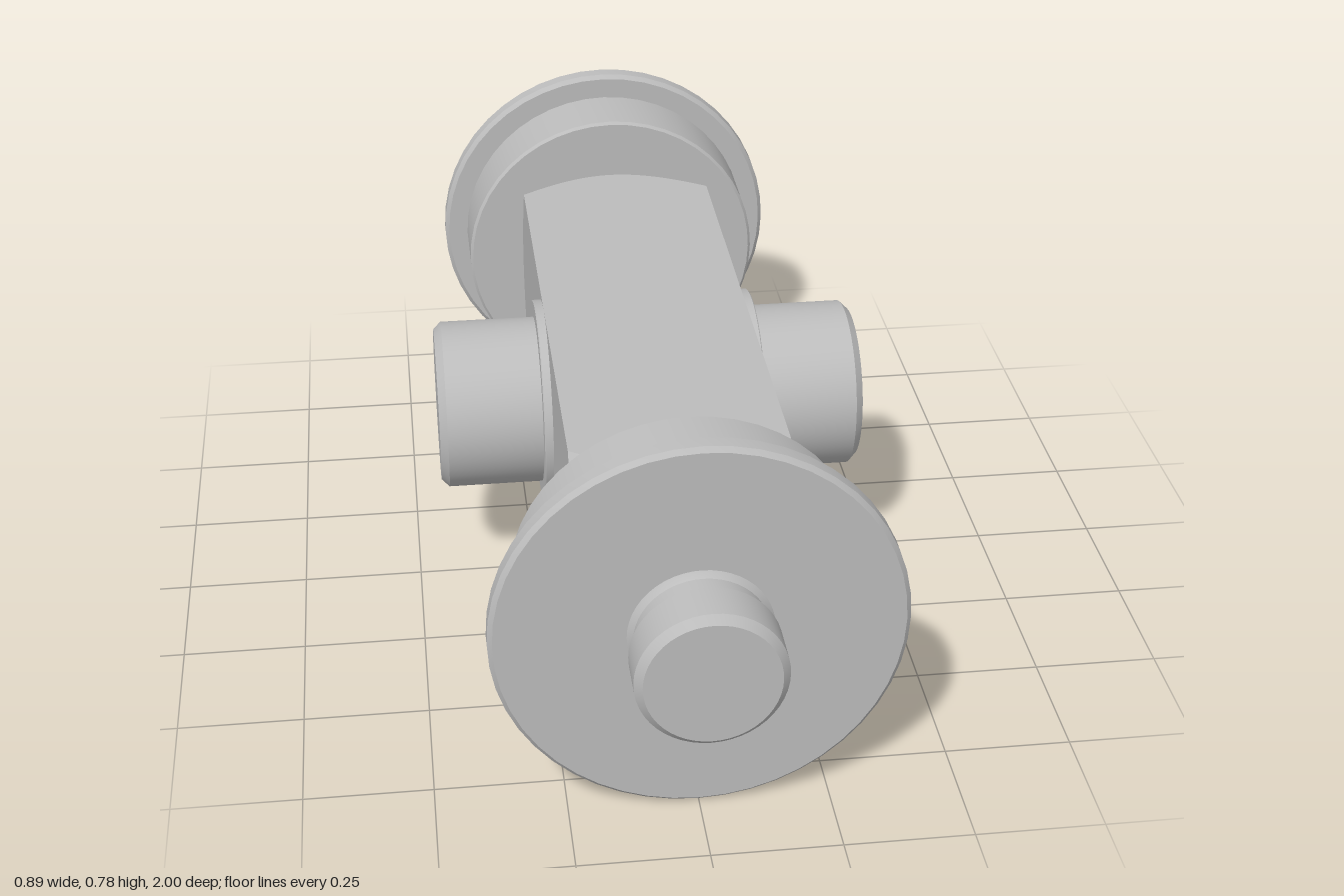
import * as THREE from 'three';
import { toCreasedNormals } from 'three/addons/utils/BufferGeometryUtils.js';

const CENTRE_Y = 0.393;
const CROSS_Z = -0.052;

export function createModel() {
  const root = new THREE.Group();
  root.name = 'crossSpindle';
  const steel = new THREE.MeshStandardMaterial({ color: 0xbcbcbc });
  steel.name = 'greySteel';

  function add(name, geometry) {
    const mesh = new THREE.Mesh(toCreasedNormals(geometry, 0.5), steel);
    mesh.name = name;
    mesh.position.y = CENTRE_Y;
    root.add(mesh);
    return mesh;
  }

  // Turned part along z; profile is [radius, z] with z rising
  function turned(name, profile) {
    const points = profile.map(([r, z]) => new THREE.Vector2(r, z));
    return add(name, new THREE.LatheGeometry(points, 48).rotateX(Math.PI / 2));
  }

  // Solid disc with bevelled rims
  function disc(name, r, z0, z1, b) {
    return turned(name, [[0, z0], [r - b, z0], [r, z0 + b], [r, z1 - b], [r - b, z1], [0, z1]]);
  }

  // Square bar with conically turned ends
  add('squareBar', turnedSquareBar(0.213, 0.195, -0.738, 0.633));

  // Front wheel, neck and pin
  disc('frontDrum', 0.338, 0.633, 0.8, 0.006);
  disc('frontFlange', 0.391, 0.795, 0.843, 0.009);
  turned('frontNeck', [[0.142, 0.84], [0.134, 0.845], [0.127, 0.855], [0.127, 0.892]]);
  disc('frontPin', 0.141, 0.888, 1, 0.015);

  // Rear wheel and low boss
  disc('rearDrum', 0.338, -0.9, -0.738, 0.006);
  disc('rearFlange', 0.391, -0.948, -0.898, 0.009);
  turned('rearNeck', [[0.165, -0.958], [0.165, -0.945]]);
  disc('rearBoss', 0.176, -1, -0.952, 0.011);

  // Cross pins and their collars on both sides
  for (const [side, s] of [['left', 1], ['right', -1]]) {
    const collar = disc(side + 'Collar', 0.212, 0.2, 0.231, 0.002);
    const pin = turned(side + 'CrossPin',
      [[0.176, 0.22], [0.176, 0.429], [0.16, 0.445], [0, 0.445]]);
    for (const part of [collar, pin]) {
      part.rotation.y = s * Math.PI / 2;
      part.position.z = CROSS_Z;
    }
  }
  return root;
}

// Rings around z: end circle, square edge set back at 45 degrees, then the same at the other end
function turnedSquareBar(half, endRadius, zBack, zFront) {
  const n = 96;
  const positions = [];
  const index = [];
  for (let i = 0; i < n; i++) {
    const a = (i / n) * Math.PI * 2;
    const c = Math.cos(a), s = Math.sin(a);
    const edge = half / Math.max(Math.abs(c), Math.abs(s));
    const setBack = edge - endRadius;
    const section = [[0, zBack], [endRadius, zBack], [edge, zBack + setBack],
      [edge, zFront - setBack], [endRadius, zFront], [0, zFront]];
    for (const [r, z] of section) positions.push(r * c, r * s, z);
    for (let k = 0; k < 5; k++) {
      const p = i * 6 + k, q = ((i + 1) % n) * 6 + k;
      if (k > 0) index.push(p, q, p + 1);
      if (k < 4) index.push(q, q + 1, p + 1);
    }
  }
  const geometry = new THREE.BufferGeometry();
  geometry.setAttribute('position', new THREE.Float32BufferAttribute(positions, 3));
  geometry.setIndex(index);
  return geometry;
}
